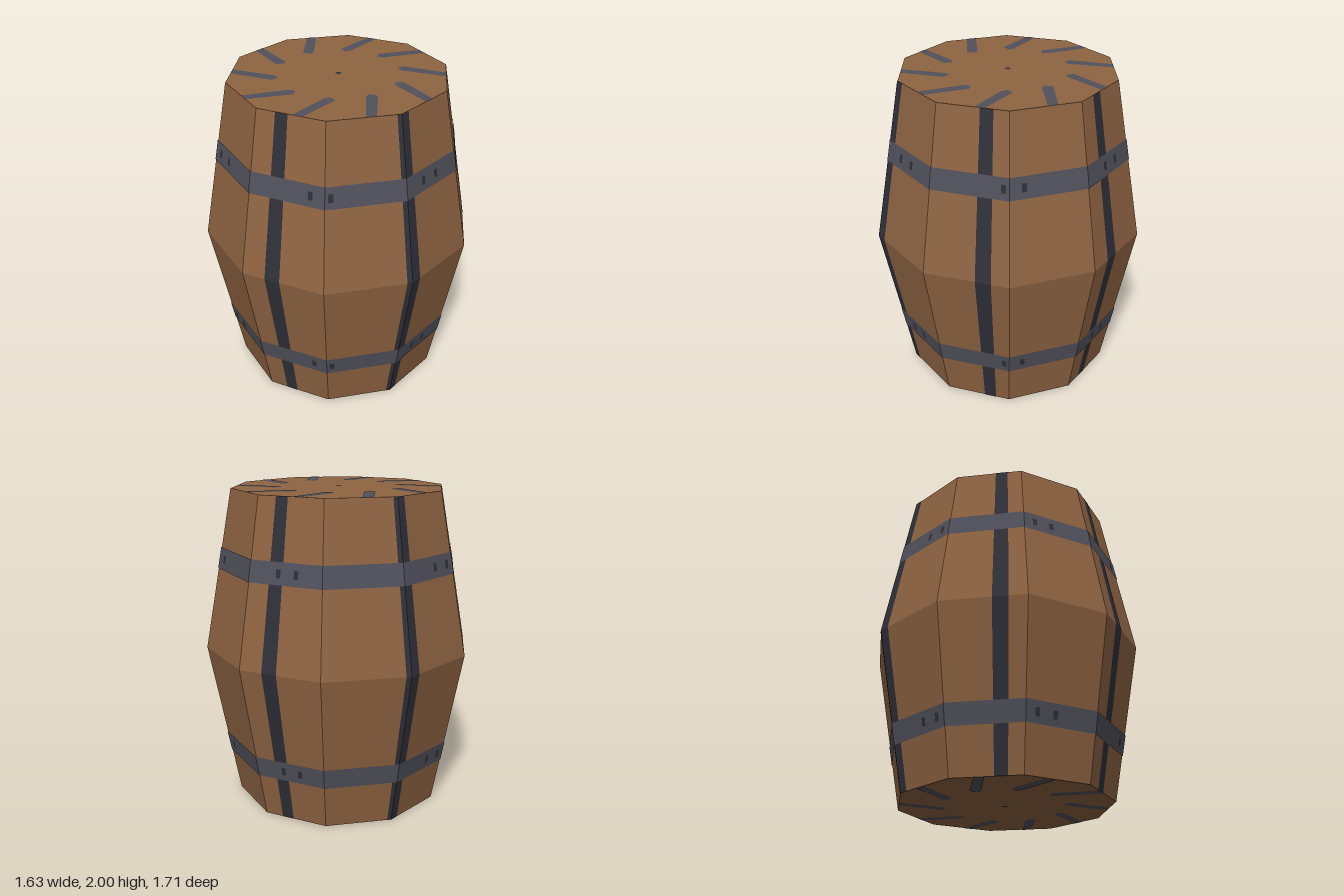
import * as THREE from 'three';

const SIDES = 10, STEP = 360 / SIDES, END_R = 0.67, MID_R = 0.855;
const rad = THREE.MathUtils.degToRad;

const wood = new THREE.MeshStandardMaterial({ color: 0x8f6442 });
wood.name = 'wood';
const iron = new THREE.MeshStandardMaterial({ color: 0x50515c });
iron.name = 'iron grey';
const dark = new THREE.MeshStandardMaterial({ color: 0x2f3039 });
dark.name = 'dark gap';

// Point on the ten-sided barrel wall; angle runs from +z towards +x
function wallPoint(deg, y, lift) {
  const local = ((deg % STEP) + STEP) % STEP - STEP / 2;
  const r = THREE.MathUtils.lerp(MID_R, END_R, Math.abs(y - 1)) + lift;
  const d = r * Math.cos(rad(STEP / 2)) / Math.cos(rad(local));
  return [d * Math.sin(rad(deg)), y, d * Math.cos(rad(deg))];
}

// Flat-faced patch of wall, broken at the corners and at the belly
function wallPatch(from, to, y0, y1, lift = 0) {
  const angles = [from], ys = [y0];
  for (let a = Math.ceil(from / STEP) * STEP; a < to; a += STEP) if (a > from) angles.push(a);
  angles.push(to);
  if (y0 < 1 && y1 > 1) ys.push(1);
  ys.push(y1);
  const pos = [];
  for (let i = 0; i < angles.length - 1; i++) {
    for (let j = 0; j < ys.length - 1; j++) {
      const a = wallPoint(angles[i], ys[j], lift), b = wallPoint(angles[i + 1], ys[j], lift);
      const c = wallPoint(angles[i + 1], ys[j + 1], lift), d = wallPoint(angles[i], ys[j + 1], lift);
      pos.push(...a, ...b, ...c, ...a, ...c, ...d);
    }
  }
  const geo = new THREE.BufferGeometry();
  geo.setAttribute('position', new THREE.Float32BufferAttribute(pos, 3));
  geo.computeVertexNormals();
  return geo;
}

function add(parent, name, geo, material) {
  const mesh = new THREE.Mesh(geo, material);
  mesh.name = name;
  parent.add(mesh);
  return mesh;
}

// End disc with a pinwheel of short slanted strips, facing up at y = 0
function makeLid(name) {
  const lid = new THREE.Group();
  lid.name = name;
  add(lid, 'lidDisc', new THREE.CircleGeometry(END_R, SIDES, Math.PI / 2).rotateX(-Math.PI / 2), wood);
  const corners = [[0.635, 0.01], [0.635, 0.07], [0.375, 0.145], [0.344, 0.104], [0.37, 0.077]];
  const shape = new THREE.Shape(corners.map(([x, y]) => new THREE.Vector2(x, y)));
  for (let i = 0; i < SIDES; i++) {
    const geo = new THREE.ShapeGeometry(shape).rotateX(-Math.PI / 2).rotateY(rad(i * STEP));
    add(lid, 'lidStrip', geo, iron).position.y = 0.002;
  }
  add(lid, 'lidPin', new THREE.CircleGeometry(0.018, 8).rotateX(-Math.PI / 2), dark).position.y = 0.002;
  return lid;
}

export function createModel() {
  const barrel = new THREE.Group();
  barrel.name = 'barrel';

  add(barrel, 'barrelWall', wallPatch(0, 360, 0, 2), wood);

  // Six dark upright strips between the staves
  for (let a = 0; a < 360; a += 60) {
    add(barrel, 'staveGap', wallPatch(a - 2.1, a + 4.6, 0, 2, 0.002), dark);
  }

  // Two hoops with pairs of rivets
  for (const y of [0.28, 1.51]) {
    add(barrel, 'hoop', wallPatch(0, 360, y, y + 0.13, 0.004), iron);
    for (const a of [16, 74, 127, 207, 262, 322]) {
      for (const side of [-4.5, 4.5]) {
        const c = a + side;
        add(barrel, 'rivet', wallPatch(c - 1.1, c + 1.1, y + 0.04, y + 0.09, 0.006), dark);
      }
    }
  }

  // Lids
  const top = makeLid('topLid');
  top.position.y = 1.998;
  const bottom = makeLid('bottomLid');
  bottom.rotation.x = Math.PI;
  bottom.position.y = 0.002;
  barrel.add(top, bottom);

  return barrel;
}
